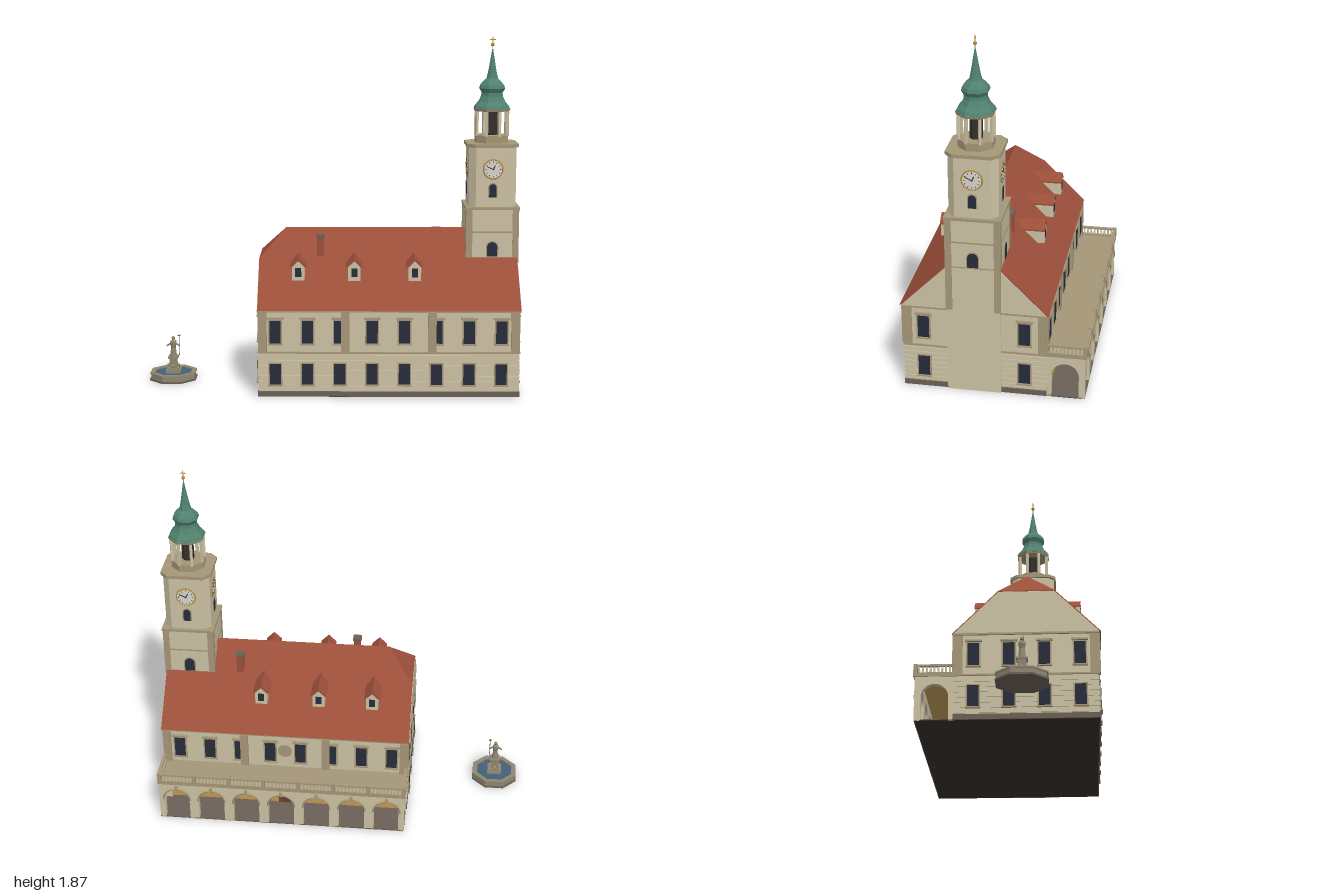
import * as THREE from 'three';
import { ConvexGeometry } from 'three/addons/geometries/ConvexGeometry.js';

const mats = {};
const mat = (c) => (mats[c] ??= new THREE.MeshStandardMaterial({ color: c, flatShading: true }));
const WALL = 0xcbc1a3, TRIM = 0xa59677, PLINTH = 0x6a6056, GLASS = 0x262c3a, ROOF = 0x9c4f3a;
const COPPER = 0x50826f, GOLD = 0xb48d42, OCHRE = 0xc09a55, STONE = 0x8f8670, DARK = 0x35302b;
const C = 0.097, TX = 0.852; // ridge line z, tower centre x
const X0 = -0.383, X1 = 0.978, Z0 = -0.268, Z1 = 0.458; // main walls

function add(parent, name, geo, color, x = 0, y = 0, z = 0, ry = 0) {
  const m = new THREE.Mesh(geo, mat(color));
  m.name = name;
  m.position.set(x, y, z);
  m.rotation.y = ry;
  parent.add(m);
  return m;
}
// box from its limits
const box = (p, name, c, x0, x1, y0, y1, z0, z1) =>
  add(p, name, new THREE.BoxGeometry(x1 - x0, y1 - y0, z1 - z0), c, (x0 + x1) / 2, (y0 + y1) / 2, (z0 + z1) / 2);
function group(parent, name, x = 0, y = 0, z = 0, ry = 0) {
  const g = new THREE.Group();
  g.name = name;
  g.position.set(x, y, z);
  g.rotation.y = ry;
  parent.add(g);
  return g;
}
const shape = (pts) => new THREE.Shape(pts.map(([x, y]) => new THREE.Vector2(x, y)));
const extrude = (s, depth) => new THREE.ExtrudeGeometry(s, { depth, bevelEnabled: false, curveSegments: 12 });
// octagonal drum with flats facing the axes; radii are to the flats
const oct = (p, name, c, rTop, rBot, y0, y1, x = 0, z = 0) =>
  add(p, name, new THREE.CylinderGeometry(rTop * 1.082, rBot * 1.082, y1 - y0, 8), c, x, (y0 + y1) / 2, z, Math.PI / 8);
// square prism with cut corners
function cutPrism(p, name, c, h, k, y0, y1) {
  const s = shape([[h, k - h], [h, h - k], [h - k, h], [k - h, h], [-h, h - k], [-h, k - h], [k - h, -h], [h - k, -h]]);
  add(p, name, extrude(s, y1 - y0).rotateX(-Math.PI / 2), c, 0, y0, 0);
}
function archShape(w, h) {
  const s = new THREE.Shape();
  s.moveTo(-w / 2, 0).lineTo(w / 2, 0).lineTo(w / 2, h - w / 2);
  s.absarc(0, h - w / 2, w / 2, 0, Math.PI, false);
  return s.closePath();
}
function archWindow(p, name, w, h, x, y, z, c = GLASS) {
  const g = group(p, name, x, y, z);
  add(g, 'surround', extrude(archShape(w + 0.012, h + 0.006), 0.003), TRIM);
  add(g, 'opening', extrude(archShape(w, h), 0.005), c);
}
function windowOn(p, x, y, z, ry, h, upper) {
  const g = group(p, 'window', x, y, z, ry);
  box(g, 'frame', TRIM, -0.036, 0.036, -0.006, h + 0.006, 0, 0.008);
  box(g, 'glass', GLASS, -0.029, 0.029, 0, h, 0, 0.010);
  box(g, 'sill', TRIM, -0.038, 0.038, -0.01, -0.003, 0, 0.014);
  if (upper) box(g, 'lintel', TRIM, -0.043, 0.043, h + 0.008, h + 0.017, 0, 0.014);
}

function buildHall(root) {
  const g = group(root, 'hall');
  box(g, 'walls', WALL, X0, X1, 0.004, 0.466, Z0, Z1);
  box(g, 'base', DARK, X0, X1, 0, 0.004, -0.465, Z1);
  const around = (name, c, o, y0, y1) => box(g, name, c, X0 - o, X1 + o, y0, y1, Z0 - o, Z1 + o);
  around('plinth', PLINTH, 0.006, 0.002, 0.03);
  for (let i = 0; i < 7; i++) around('stoneCourse', WALL, 0.004, 0.036 + i * 0.028, 0.058 + i * 0.028);
  around('storeyBand', TRIM, 0.007, 0.234, 0.243);
  around('cornice', TRIM, 0.009, 0.455, 0.468);
  // long sides: windows and pilasters
  for (let i = 0; i < 8; i++) {
    const x = -0.297 + i * 0.169;
    windowOn(g, x, 0.29, Z1, 0, 0.12, true);
    windowOn(g, x, 0.07, Z1 + 0.003, 0, 0.11, false);
    windowOn(g, x, 0.29, Z0, Math.PI, 0.12, true);
  }
  for (const x of [X0 + 0.02, 0.07, 0.524, X1 - 0.02])
    for (const z of [Z0, Z1]) box(g, 'pilaster', TRIM, x - 0.022, x + 0.022, 0.243, 0.456, z - 0.013, z + 0.0125);
  // short sides
  for (const [x, ry, zs] of [[X1, Math.PI / 2, [0.357, -0.16]], [X0, -Math.PI / 2, [C - 0.27, C - 0.09, C + 0.09, C + 0.27]]])
    for (const z of zs) {
      windowOn(g, x, 0.29, z, ry, 0.12, true);
      windowOn(g, x + Math.sign(x) * 0.003, 0.07, z, ry, 0.11, false);
    }
  for (const x of [X0, X1]) for (const z of [Z0 + 0.02, Z1 - 0.02])
    box(g, 'endPilaster', TRIM, x - 0.005, x + 0.005, 0.243, 0.456, z - 0.02, z + 0.02);
  const medal = add(g, 'medallion', new THREE.CylinderGeometry(0.038, 0.038, 0.012, 20), TRIM, 0.297, 0.36, Z0 - 0.004);
  medal.rotation.x = Math.PI / 2;

  // half-hipped roof and the gable walls beneath it
  const v = (x, y, z) => new THREE.Vector3(x, y, z);
  const roofSolid = (x0, x1, drop) => {
    const pts = [v(x0 + 0.14, 0.845 - drop, C), v(x1, 0.845 - drop, C)];
    for (const s of [-1, 1])
      pts.push(v(x0, 0.465, C + s * (0.38 - drop)), v(x1, 0.465, C + s * (0.38 - drop)), v(x0, 0.70 - drop, C + s * 0.145));
    return new ConvexGeometry(pts);
  };
  add(g, 'roof', roofSolid(-0.39, 0.986, 0), ROOF);
  add(g, 'gables', roofSolid(-0.392, 0.988, 0.008), WALL);

  // dormers and chimneys, mirrored front and back
  for (const ry of [0, Math.PI]) {
    const side = group(g, 'roofSide', 0, 0, C, ry);
    const s = ry ? -1 : 1;
    for (const x of [-0.178, 0.117, 0.435]) {
      const d = group(side, 'dormer', s * x, 0, 0);
      const face = shape([[-0.033, 0.605], [0.033, 0.605], [0.033, 0.682], [0, 0.714], [-0.033, 0.682]]);
      add(d, 'dormerWalls', extrude(face, 0.1), WALL, 0, 0, 0.177);
      const top = shape([[-0.043, 0.676], [-0.033, 0.678], [0, 0.710], [0.033, 0.678], [0.043, 0.676], [0.043, 0.684], [0, 0.727], [-0.043, 0.684]]);
      add(d, 'dormerRoof', extrude(top, 0.158), ROOF, 0, 0, 0.122);
      box(d, 'dormerWindow', GLASS, -0.016, 0.016, 0.625, 0.672, 0.27, 0.279);
    }
    const cx = s * (ry ? 0.57 : -0.063);
    box(side, 'chimney', ROOF, cx - 0.019, cx + 0.019, 0.70, 0.815, 0.096, 0.134);
    box(side, 'chimneyCap', PLINTH, cx - 0.024, cx + 0.024, 0.813, 0.825, 0.091, 0.139);
  }
}

function arcadeWall(bays, pitch, w) {
  const s = new THREE.Shape(), L = bays * pitch / 2;
  s.moveTo(-L, 0.235).lineTo(-L, 0);
  for (let i = 0; i < bays; i++) {
    const c = -L + (i + 0.5) * pitch;
    s.lineTo(c - w / 2, 0).lineTo(c - w / 2, 0.125);
    s.absarc(c, 0.125, w / 2, Math.PI, 0, true);
    s.lineTo(c + w / 2, 0);
  }
  s.lineTo(L, 0).lineTo(L, 0.235).closePath();
  return extrude(s, 0.032);
}
function buildArcade(root) {
  const g = group(root, 'arcade'), mid = (X0 + X1) / 2, pitch = (X1 - X0) / 7, zf = -0.469;
  add(g, 'arcadeFront', arcadeWall(7, pitch, 0.142), WALL, mid, 0, zf);
  for (const x of [X0, X1 - 0.032]) add(g, 'arcadeEnd', arcadeWall(1, 0.2, 0.14), WALL, x, 0, -0.367, Math.PI / 2);
  box(g, 'innerWall', OCHRE, X0 + 0.01, X1 - 0.01, 0.004, 0.234, -0.281, -0.275);
  box(g, 'ceiling', OCHRE, X0 + 0.01, X1 - 0.01, 0.226, 0.234, zf + 0.01, -0.27);
  box(g, 'walkFloor', PLINTH, X0, X1, 0.002, 0.008, zf, -0.27);
  box(g, 'terrace', TRIM, X0 - 0.004, X1 + 0.004, 0.234, 0.25, zf - 0.007, Z0);
  const back = group(g, 'innerOpenings', mid, 0, -0.28, Math.PI);
  for (let i = 0; i < 7; i++) {
    const x = (i - 3) * pitch;
    if (i === 3) archWindow(back, 'door', 0.08, 0.15, x, 0.008, 0, 0x6e3a2a);
    else archWindow(back, 'innerWindow', 0.06, 0.11, x, 0.06, 0);
    add(g, 'archMoulding', new THREE.TorusGeometry(0.075, 0.005, 4, 12, Math.PI), TRIM, mid + x, 0.125, zf);
    box(g, 'keystone', TRIM, mid + x - 0.008, mid + x + 0.008, 0.192, 0.222, zf - 0.005, zf + 0.01);
  }
  // balustrade along the back and both ends
  const rail = (x0, x1, z0, z1) => {
    box(g, 'handrail', TRIM, x0, x1, 0.29, 0.3, z0, z1);
    box(g, 'bottomRail', TRIM, x0, x1, 0.25, 0.257, z0, z1);
  };
  const baluster = new THREE.CylinderGeometry(0.0045, 0.006, 0.036, 6);
  rail(X0 - 0.004, X1 + 0.004, -0.476, -0.458);
  for (let i = 0; i < 71; i++) {
    const x = X0 + 0.008 + i * (X1 - X0 - 0.016) / 70;
    if (i % 10) add(g, 'baluster', baluster, WALL, x, 0.273, -0.467);
    else box(g, 'railPost', TRIM, x - 0.01, x + 0.01, 0.25, 0.304, -0.477, -0.457);
  }
  for (const x of [X0 + 0.005, X1 - 0.005]) {
    rail(x - 0.009, x + 0.009, -0.46, Z0);
    for (let i = 1; i < 10; i++) add(g, 'baluster', baluster, WALL, x, 0.273, -0.467 + i * 0.0195);
  }
}

function buildTower(root) {
  const g = group(root, 'tower', TX, 0, C);
  const sq = (name, c, h, y0, y1) => box(g, name, c, -h, h, y0, y1, -h, h);
  sq('lowerShaft', WALL, 0.138, 0.001, 0.966);
  sq('gableBand', TRIM, 0.1395, 0.702, 0.708);
  sq('panelBand', TRIM, 0.1395, 0.838, 0.846);
  sq('lowerCornice', TRIM, 0.144, 0.962, 0.976);
  for (const sx of [-1, 1]) for (const sz of [-1, 1])
    add(g, 'cornerPilaster', new THREE.BoxGeometry(0.034, 0.5, 0.034), TRIM, sx * 0.1235, 0.714, sz * 0.1235);
  cutPrism(g, 'upperShaft', WALL, 0.126, 0.036, 0.97, 1.295);
  cutPrism(g, 'upperCornice', TRIM, 0.137, 0.04, 1.292, 1.31);
  // windows and clocks on each face
  for (let i = 0; i < 4; i++) {
    const f = group(g, 'towerFace', 0, 0, 0, i * Math.PI / 2);
    archWindow(f, 'lowerWindow', 0.054, 0.078, 0, 0.71, 0.138);
    archWindow(f, 'upperWindow', 0.038, 0.07, 0, 1.028, 0.126);
    const k = group(f, 'clock', 0, 1.177, 0.126);
    add(k, 'clockFace', new THREE.CylinderGeometry(0.05, 0.05, 0.008, 28).rotateX(Math.PI / 2), 0xd8d5cc);
    add(k, 'clockRing', new THREE.TorusGeometry(0.05, 0.005, 6, 28), GOLD);
    const bar = (name, a, w, r0, r1) => {
      const m = add(k, name, new THREE.BoxGeometry(w, r1 - r0, 0.003).translate(0, (r0 + r1) / 2, 0), DARK, 0, 0, 0.005);
      m.rotation.z = a;
    };
    for (let t = 0; t < 12; t++) bar('hourMark', t * Math.PI / 6, 0.003, 0.035, 0.042);
    bar('hourHand', -0.5, 0.005, -0.004, 0.024);
    bar('minuteHand', 1.15, 0.004, -0.006, 0.037);
  }
  // open lantern
  oct(g, 'lanternParapet', TRIM, 0.086, 0.086, 1.31, 1.35);
  oct(g, 'lanternCore', DARK, 0.031, 0.031, 1.35, 1.482);
  for (let i = 0; i < 8; i++) {
    const a = (i + 0.5) * Math.PI / 4;
    add(g, 'lanternPillar', new THREE.BoxGeometry(0.014, 0.14, 0.014), WALL, 0.088 * Math.sin(a), 1.415, 0.088 * Math.cos(a), a);
  }
  oct(g, 'lanternCornice', TRIM, 0.095, 0.09, 1.478, 1.492);
  // copper helmet and spire
  const prof = [[0.001, 1.488], [0.095, 1.488], [0.088, 1.505], [0.068, 1.53], [0.056, 1.557], [0.054, 1.575], [0.067, 1.598],
    [0.062, 1.615], [0.046, 1.635], [0.03, 1.65], [0.024, 1.675], [0.016, 1.72], [0.008, 1.77], [0.001, 1.815]];
  add(g, 'spire', new THREE.LatheGeometry(prof.map(([r, y]) => new THREE.Vector2(r * 1.08, y)), 8), COPPER, 0, 0, 0, Math.PI / 8);
  box(g, 'finialRod', GOLD, -0.002, 0.002, 1.80, 1.87, -0.002, 0.002);
  add(g, 'finialBall', new THREE.SphereGeometry(0.01, 10, 8), GOLD, 0, 1.83, 0);
  box(g, 'finialCross', GOLD, -0.015, 0.015, 1.854, 1.858, -0.002, 0.002);
}

function buildFountain(root) {
  const g = group(root, 'fountain', -0.875, 0, 0.093);
  oct(g, 'step', PLINTH, 0.125, 0.125, 0, 0.009);
  const basin = [[0.118, 0.009], [0.118, 0.034], [0.123, 0.034], [0.123, 0.042], [0.098, 0.042], [0.098, 0.009]];
  add(g, 'basin', new THREE.LatheGeometry(basin.map(([r, y]) => new THREE.Vector2(r * 1.082, y)), 8), STONE, 0, 0, 0, Math.PI / 8);
  oct(g, 'water', 0x42617a, 0.1, 0.1, 0.009, 0.034);
  // pedestal
  for (const [h, y0, y1] of [[0.04, 0.02, 0.05], [0.03, 0.05, 0.062], [0.02, 0.062, 0.115], [0.027, 0.115, 0.126]])
    box(g, 'pedestal', STONE, -h, h, y0, y1, -h, h);
  for (let i = 0; i < 4; i++) {
    const a = i * Math.PI / 2;
    add(g, 'spout', new THREE.SphereGeometry(0.009, 8, 6), TRIM, 0.026 * Math.sin(a), 0.075, 0.026 * Math.cos(a));
  }
  // statue with staff
  const robe = [[0.001, 0.126], [0.019, 0.126], [0.016, 0.15], [0.013, 0.175], [0.018, 0.2], [0.016, 0.21], [0.005, 0.217], [0.001, 0.22]];
  add(g, 'statueBody', new THREE.LatheGeometry(robe.map(([r, y]) => new THREE.Vector2(r, y)), 10), STONE);
  add(g, 'statueHead', new THREE.SphereGeometry(0.01, 10, 8), STONE, 0, 0.226, 0);
  for (const s of [-1, 1]) {
    const arm = add(g, 'statueArm', new THREE.CylinderGeometry(0.005, 0.005, 0.036, 6), STONE, s * 0.021, 0.192, 0.004);
    arm.rotation.z = s * 1.0;
  }
  add(g, 'staff', new THREE.CylinderGeometry(0.002, 0.002, 0.12, 6), PLINTH, 0.033, 0.19, 0.006);
  box(g, 'staffTip', PLINTH, 0.025, 0.041, 0.238, 0.244, 0.004, 0.008);
}

export function createModel() {
  const root = new THREE.Group();
  root.name = 'townHall';
  buildHall(root);
  buildArcade(root);
  buildTower(root);
  buildFountain(root);
  return root;
}
